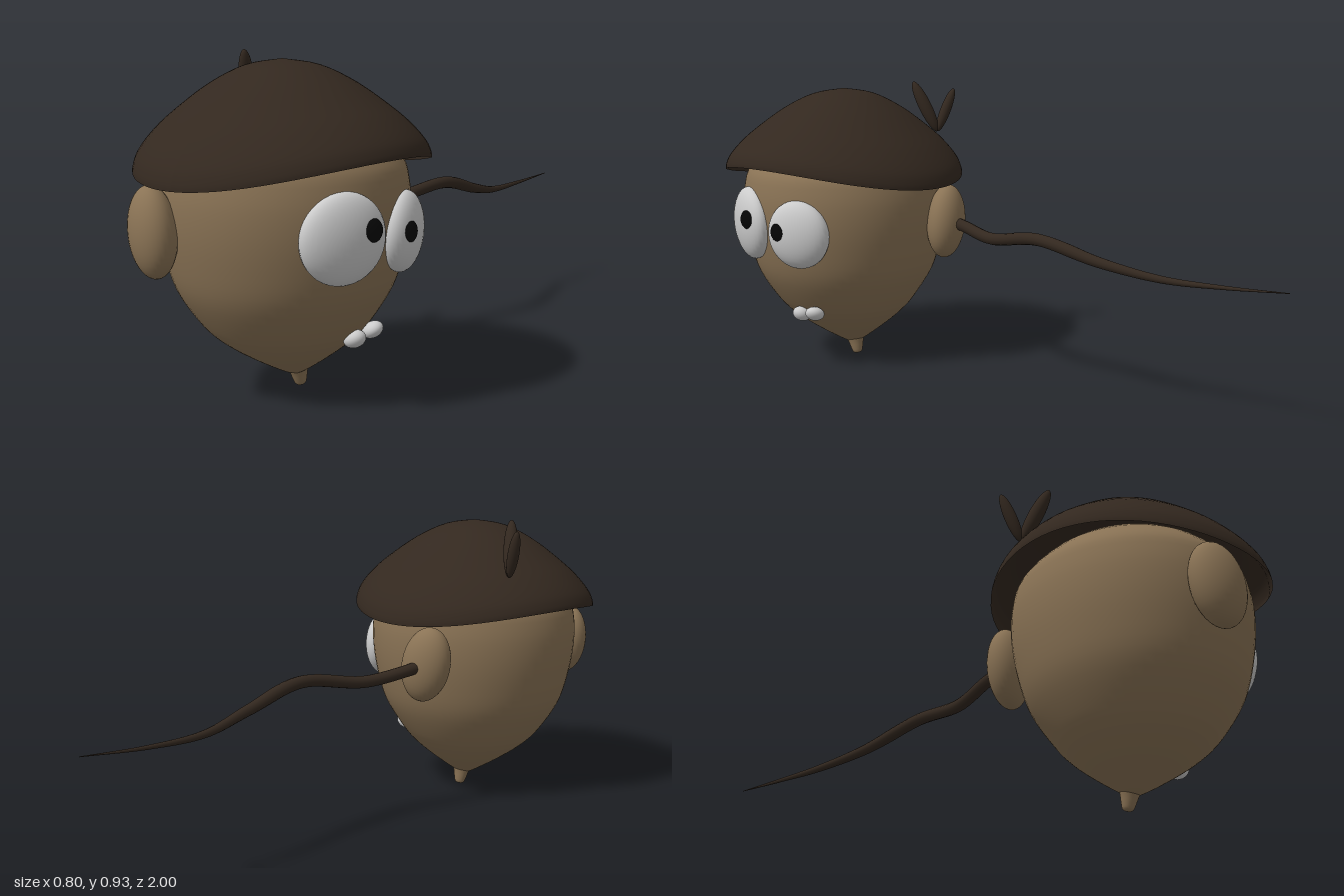
import * as THREE from 'three';

const mat = (color, side = THREE.FrontSide) => new THREE.MeshStandardMaterial({ color, side });
const CZ = 0.583; // the head sits at this z, facing +x

export function createModel() {
  const model = new THREE.Group();
  const skin = mat(0x8a7355);
  const bark = mat(0x33281f, THREE.DoubleSide);
  const white = mat(0xcccccc);
  const black = mat(0x050505);

  const add = (name, geometry, material) => {
    const mesh = new THREE.Mesh(geometry, material);
    mesh.name = name;
    model.add(mesh);
    return mesh;
  };
  const ellipsoid = (name, material, pos, radii, rot = [0, 0, 0]) => {
    const mesh = add(name, new THREE.SphereGeometry(1, 32, 20), material);
    mesh.position.set(...pos);
    mesh.scale.set(...radii);
    mesh.rotation.set(...rot, 'YXZ');
    return mesh;
  };
  // smooth lathe through a few profile points [radius, y]
  const lathe = (pts, steps, around) => {
    const curve = new THREE.SplineCurve(pts.map(p => new THREE.Vector2(...p)));
    const profile = curve.getPoints(steps);
    profile.forEach(p => { p.x = Math.max(p.x, 0); });
    return new THREE.LatheGeometry(profile, around);
  };
  const reshape = (geometry, rule) => {
    const p = geometry.attributes.position;
    const v = new THREE.Vector3();
    for (let i = 0; i < p.count; i++) {
      rule(v.fromBufferAttribute(p, i));
      p.setXYZ(i, v.x, v.y, v.z);
    }
    return geometry;
  };

  // nut-shaped head, its pointed chin leaning a little back in z
  const head = lathe([[0, 0.035], [0.035, 0.05], [0.115, 0.1], [0.185, 0.152], [0.235, 0.205],
    [0.295, 0.3], [0.325, 0.4], [0.34, 0.5], [0.337, 0.59], [0.31, 0.66], [0.2, 0.75], [0, 0.79]], 44, 64);
  reshape(head, v => { v.z += CZ - 0.04 * Math.max(0, 1 - v.y / 0.25) ** 2; });
  add('head', head, skin);

  // small nub under the chin
  const nub = add('chinNub', lathe([[0, 0], [0.014, 0.004], [0.02, 0.02], [0.025, 0.04], [0.034, 0.07]], 14, 24), skin);
  nub.position.set(0.002, 0, 0.533);
  nub.rotation.x = 0.2;

  // cap: a dome with a wavy rim, lifted over the face
  const cap = lathe([[0.398, 0], [0.396, 0.06], [0.383, 0.17], [0.35, 0.32], [0.3, 0.49],
    [0.2, 0.76], [0.1, 0.94], [0, 1]], 28, 72);
  reshape(cap, v => {
    const a = Math.atan2(v.z, v.x);
    const rim = 0.63 + 0.03 * Math.cos(2 * a) + 0.01 * Math.cos(a);
    v.y = rim + (0.91 - rim) * v.y;
    v.z += CZ;
  });
  cap.computeVertexNormals();
  add('cap', cap, bark);

  // two short twigs sprouting from the cap
  const base = new THREE.Vector3(-0.29, 0.755, 0.425);
  [[-0.342, 0.902, 0.395, 0.018], [-0.238, 0.926, 0.49, 0.022]].forEach(([x, y, z, r], i) => {
    const tip = new THREE.Vector3(x, y, z);
    const dir = tip.clone().sub(base);
    const twig = ellipsoid('twig' + (i + 1), bark, base.clone().lerp(tip, 0.5).toArray(), [r, dir.length() / 2, r]);
    twig.quaternion.setFromUnitVectors(new THREE.Vector3(0, 1, 0), dir.normalize());
  });

  // ears on both sides
  for (const s of [1, -1]) {
    ellipsoid(s > 0 ? 'rightEar' : 'leftEar', skin, [-0.125, 0.48, CZ + s * 0.353],
      [0.08, 0.121, 0.06], [0, -s * 0.33, 0.2]);
  }

  // flattened eyes with pupils looking inward
  ellipsoid('rightEye', white, [0.308, 0.476, 0.7], [0.052, 0.12, 0.12], [0, -0.36, -0.05]);
  ellipsoid('leftEye', white, [0.31, 0.462, 0.463], [0.052, 0.11, 0.106], [0, 0.36, -0.05]);
  ellipsoid('rightPupil', black, [0.362, 0.497, 0.652], [0.022, 0.032, 0.031], [0, -0.15, 0]);
  ellipsoid('leftPupil', black, [0.358, 0.472, 0.5], [0.022, 0.032, 0.031], [0, 0.15, 0]);

  // two teeth
  ellipsoid('rightTooth', white, [0.224, 0.175, 0.56], [0.032, 0.024, 0.03], [0, 0, 0.4]);
  ellipsoid('leftTooth', white, [0.228, 0.186, 0.49], [0.032, 0.022, 0.029], [0.3, 0, 0.4]);

  // long wavy stem from the left ear, tapering to a point
  const path = new THREE.CatmullRomCurve3([[-0.13, 0.482, 0.21], [-0.122, 0.47, 0.14], [-0.088, 0.452, 0.0],
    [-0.054, 0.478, -0.22], [-0.077, 0.432, -0.43], [-0.119, 0.402, -0.61], [-0.136, 0.403, -0.8],
    [-0.138, 0.416, -1]].map(p => new THREE.Vector3(...p)));
  const N = 64, SIDES = 12;
  const stem = new THREE.TubeGeometry(path, N, 1, SIDES);
  const pos = stem.attributes.position;
  const v = new THREE.Vector3();
  for (let i = 0; i <= N; i++) {
    const t = i / N;
    const c = path.getPointAt(t);
    const r = 0.001 + 0.018 * Math.min(1, (1 - t) / 0.55);
    for (let j = 0; j <= SIDES; j++) {
      const k = i * (SIDES + 1) + j;
      v.fromBufferAttribute(pos, k).sub(c).multiplyScalar(r).add(c);
      pos.setXYZ(k, v.x, v.y, v.z);
    }
  }
  add('stem', stem, bark);

  return model;
}
